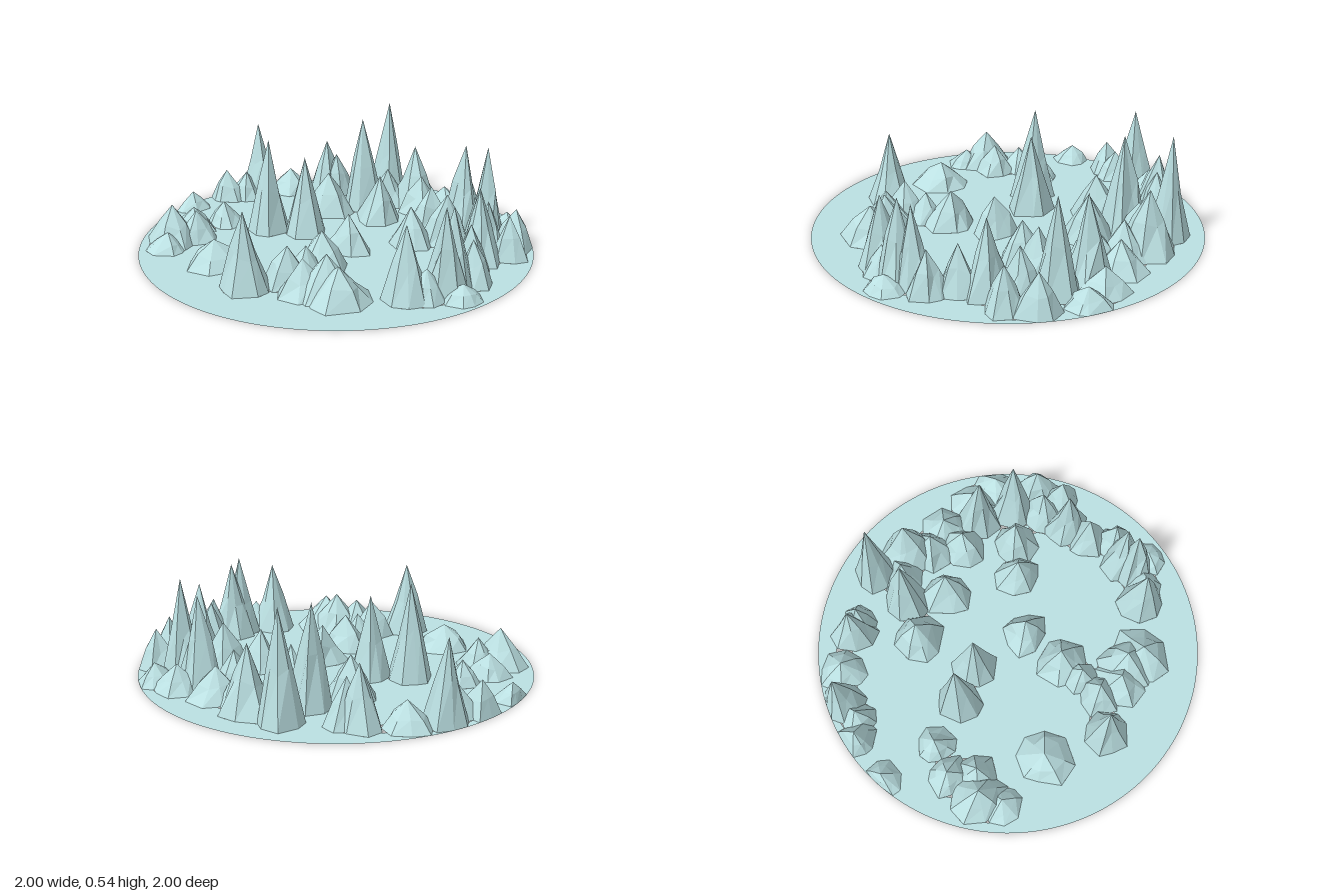
import * as THREE from 'three';

const stone = new THREE.MeshStandardMaterial({ color: 0xbbe0e2, side: THREE.DoubleSide, flatShading: true });
stone.name = 'pale blue stone';

// small seeded generator, for irregular outlines
let seed = 11;
const rnd = () => (seed = (seed * 16807) % 2147483647) / 2147483647;

// tall spikes: x, z, height
const spikes = [
  [-0.20, -0.79, 0.54], [-0.21, -0.54, 0.50], [-0.41, 0.03, 0.485], [-0.22, -0.03, 0.41],
  [-0.83, -0.39, 0.405], [-0.52, -0.63, 0.30], [-0.02, 0.70, 0.38], [0.41, -0.59, 0.45],
  [0.58, -0.51, 0.49], [0.65, 0.36, 0.36], [0.76, 0.20, 0.42], [0.76, 0.13, 0.40], [0.70, -0.22, 0.38],
];
// low rocks: x, z, radius, height
const rocks = [
  // back cluster
  [0.00, -0.75, 0.15, 0.33], [0.10, -0.66, 0.12, 0.20], [0.23, -0.69, 0.13, 0.16],
  [0.23, -0.55, 0.12, 0.20], [-0.02, -0.43, 0.13, 0.24], [-0.31, -0.36, 0.13, 0.22],
  [-0.12, -0.66, 0.11, 0.20], [-0.46, -0.64, 0.10, 0.23],
  // back right arc
  [0.46, -0.70, 0.12, 0.13], [0.62, -0.68, 0.11, 0.10], [0.31, -0.22, 0.12, 0.20],
  [0.44, -0.36, 0.12, 0.25], [0.76, -0.50, 0.11, 0.20], [0.80, -0.35, 0.10, 0.22],
  [0.67, -0.37, 0.11, 0.26],
  // right rim
  [0.73, -0.09, 0.11, 0.24], [0.81, 0.03, 0.11, 0.22], [0.87, 0.22, 0.10, 0.08], [0.73, 0.31, 0.10, 0.15],
  // front right mound
  [0.42, 0.56, 0.17, 0.17], [0.33, 0.53, 0.14, 0.20], [0.23, 0.58, 0.13, 0.17],
  // middle string
  [0.11, 0.54, 0.11, 0.19], [0.12, 0.41, 0.09, 0.15], [0.11, 0.27, 0.13, 0.18], [0.10, 0.03, 0.12, 0.19],
  // front left mounds
  [-0.33, 0.56, 0.14, 0.125], [-0.70, 0.46, 0.14, 0.195], [-0.62, 0.37, 0.11, 0.155],
  [-0.73, 0.27, 0.11, 0.12], [-0.66, 0.11, 0.10, 0.12], [-0.64, 0.56, 0.10, 0.09],
  // left rim
  [-0.91, -0.20, 0.10, 0.165], [-0.96, 0.03, 0.10, 0.09], [-0.70, -0.52, 0.13, 0.13], [-0.83, -0.28, 0.09, 0.15],
];

function surface(name, pos) {
  const g = new THREE.BufferGeometry();
  g.setAttribute('position', new THREE.Float32BufferAttribute(pos, 3));
  g.computeVertexNormals();
  const m = new THREE.Mesh(g, stone);
  m.name = name;
  return m;
}

// faceted open cone: base ring, middle ring, apex; remembers its outline
function peak(name, x, z, radius, h, outlines) {
  const n = 8, base = [], mid = [], apex = [x, h, z], pos = [];
  const turn = rnd() * Math.PI;
  const full = 0.5 + 0.6 * Math.max(0, 0.3 - h); // low rocks bulge, spikes stay straight
  for (let i = 0; i < n; i++) {
    const a = turn + ((i + 0.5 * rnd()) / n) * Math.PI * 2;
    const r = radius * (0.86 + 0.32 * rnd());
    const bx = x + Math.cos(a) * r, bz = z + Math.sin(a) * r;
    const k = Math.max(1, Math.hypot(bx, bz)); // keep the base on the disc
    base.push([bx / k, 0, bz / k]);
    const t = full + (rnd() - 0.5) * 0.16;
    mid.push([x + (bx / k - x) * t, h * (0.48 + (rnd() - 0.5) * 0.2), z + (bz / k - z) * t]);
  }
  for (let i = 0; i < n; i++) {
    const j = (i + 1) % n;
    pos.push(...base[i], ...mid[i], ...base[j]);
    pos.push(...base[j], ...mid[i], ...mid[j]);
    pos.push(...mid[i], ...apex, ...mid[j]);
  }
  outlines.push(base);
  return surface(name, pos);
}

function inside(px, pz, ring) {
  let hit = false;
  for (let i = 0, j = ring.length - 1; i < ring.length; j = i++) {
    const [xi, , zi] = ring[i], [xj, , zj] = ring[j];
    if (zi > pz !== zj > pz && px < ((xj - xi) * (pz - zi)) / (zj - zi) + xi) hit = !hit;
  }
  return hit;
}

// thin disc of polar cells, cut open along the outlines of the hollow rocks
function ground(outlines) {
  const rings = 60, segs = 160, pos = [];
  const at = (r, s) => {
    const a = (s / segs) * Math.PI * 2;
    return [(Math.cos(a) * r) / rings, 0, (Math.sin(a) * r) / rings];
  };
  const covered = (p) => outlines.some((o) => inside(p[0], p[2], o));
  const middle = (p, q) => [(p[0] + q[0]) / 2, 0, (p[2] + q[2]) / 2];
  // point where the line from open p to covered q meets an outline
  const crossing = (p, q) => {
    for (let k = 0; k < 8; k++) {
      const m = middle(p, q);
      if (covered(m)) q = m;
      else p = m;
    }
    return p;
  };
  // keep the open part of one triangle
  const addOpen = (tri) => {
    const hidden = tri.map(covered), poly = [];
    tri.forEach((p, i) => {
      const j = (i + 1) % 3, q = tri[j];
      if (!hidden[i]) poly.push(p);
      if (hidden[i] !== hidden[j]) poly.push(hidden[i] ? crossing(q, p) : crossing(p, q));
    });
    for (let i = 2; i < poly.length; i++) pos.push(...poly[0], ...poly[i - 1], ...poly[i]);
  };
  for (let r = 0; r < rings; r++) {
    for (let s = 0; s < segs; s++) {
      const a = at(r, s), c = at(r + 1, s + 1);
      addOpen([a, c, at(r + 1, s)]);
      if (r > 0) addOpen([a, at(r, s + 1), c]);
    }
  }
  return surface('groundDisc', pos);
}

export function createModel() {
  seed = 11;
  const model = new THREE.Group();
  model.name = 'rockField';
  const outlines = [];
  spikes.forEach(([x, z, h], i) => model.add(peak('spike' + (i + 1), x, z, 0.115, h, outlines)));
  rocks.forEach(([x, z, r, h], i) => model.add(peak('rock' + (i + 1), x, z, r, h, outlines)));
  model.add(ground(outlines));
  return model;
}
